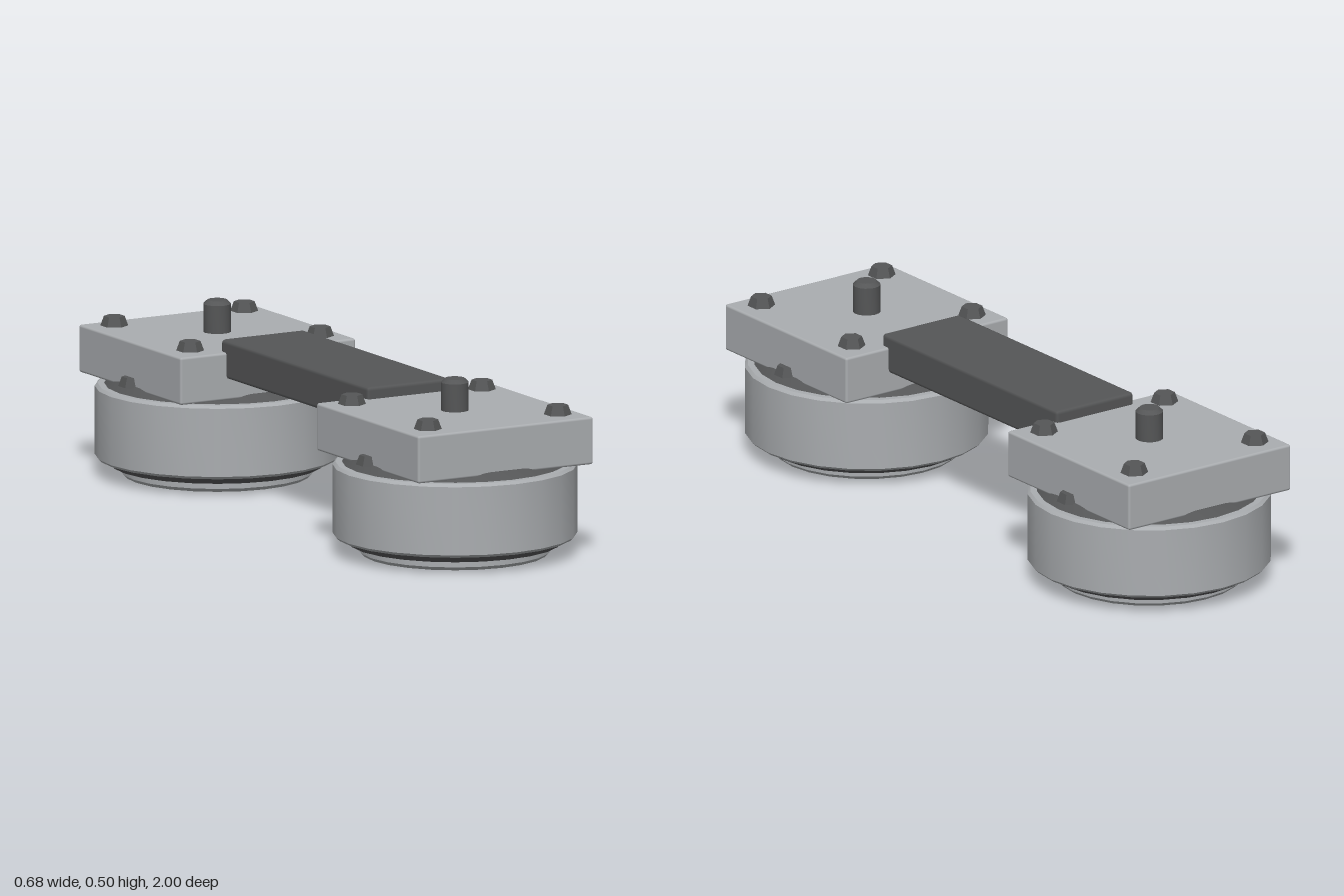
import * as THREE from 'three';
import { toCreasedNormals } from 'three/addons/utils/BufferGeometryUtils.js';
import { RoundedBoxGeometry } from 'three/addons/geometries/RoundedBoxGeometry.js';

export function createModel() {
  const lightMetal = new THREE.MeshStandardMaterial({ color: 0xaaadb0 });
  lightMetal.name = 'lightMetal';
  const darkMetal = new THREE.MeshStandardMaterial({ color: 0x555657 });
  darkMetal.name = 'darkMetal';

  const add = (parent, name, geometry, material, x = 0, y = 0, z = 0) => {
    const mesh = new THREE.Mesh(geometry, material);
    mesh.name = name;
    mesh.position.set(x, y, z);
    parent.add(mesh);
  };
  // Closed round part from [radius, height] pairs, bottom to top
  const turned = (points, sides = 24) => toCreasedNormals(
    new THREE.LatheGeometry(points.map(([r, y]) => new THREE.Vector2(r, y)), sides), 0.6);

  const foot = turned([[0, 0], [0.26, 0], [0.27, 0.01], [0.27, 0.04], [0, 0.04]]);
  const core = turned([[0, 0.03], [0.297, 0.03], [0.318, 0.052], [0.318, 0.258], [0.29, 0.281], [0, 0.281]]);
  const drum = turned([[0.312, 0.05], [0.334, 0.05], [0.342, 0.058], [0.342, 0.252], [0.334, 0.26],
    [0.312, 0.26], [0.312, 0.05]]);
  const shaft = turned([[0, 0.4], [0.039, 0.4], [0.039, 0.485], [0.028, 0.496], [0, 0.496]], 16);
  const plate = new RoundedBoxGeometry(0.566, 0.135, 0.566, 2, 0.007);
  const bolt = toCreasedNormals(new THREE.CylinderGeometry(0.029, 0.039, 0.027, 6), 0.3);

  const model = new THREE.Group();
  model.name = 'twinDrumAssembly';

  // Two identical drum units, front and back
  for (const side of [1, -1]) {
    const unit = new THREE.Group();
    unit.name = side > 0 ? 'frontUnit' : 'backUnit';
    unit.position.z = side * 0.658;
    add(unit, 'foot', foot, lightMetal);
    add(unit, 'core', core, darkMetal);
    add(unit, 'drum', drum, lightMetal);
    add(unit, 'mountPlate', plate, lightMetal, 0, 0.338, 0);
    add(unit, 'shaft', shaft, darkMetal);
    for (const x of [-1, 1]) {
      add(unit, 'coreBolt', bolt, darkMetal, x * 0.275, 0.291, 0);
      for (const z of [-1, 1]) add(unit, 'plateBolt', bolt, darkMetal, x * 0.21, 0.4215, z * 0.21);
    }
    model.add(unit);
  }

  // Beam joining the two plates
  add(model, 'beam', new RoundedBoxGeometry(0.27, 0.11, 0.816, 1, 0.011), darkMetal, 0, 0.385, 0);
  return model;
}
